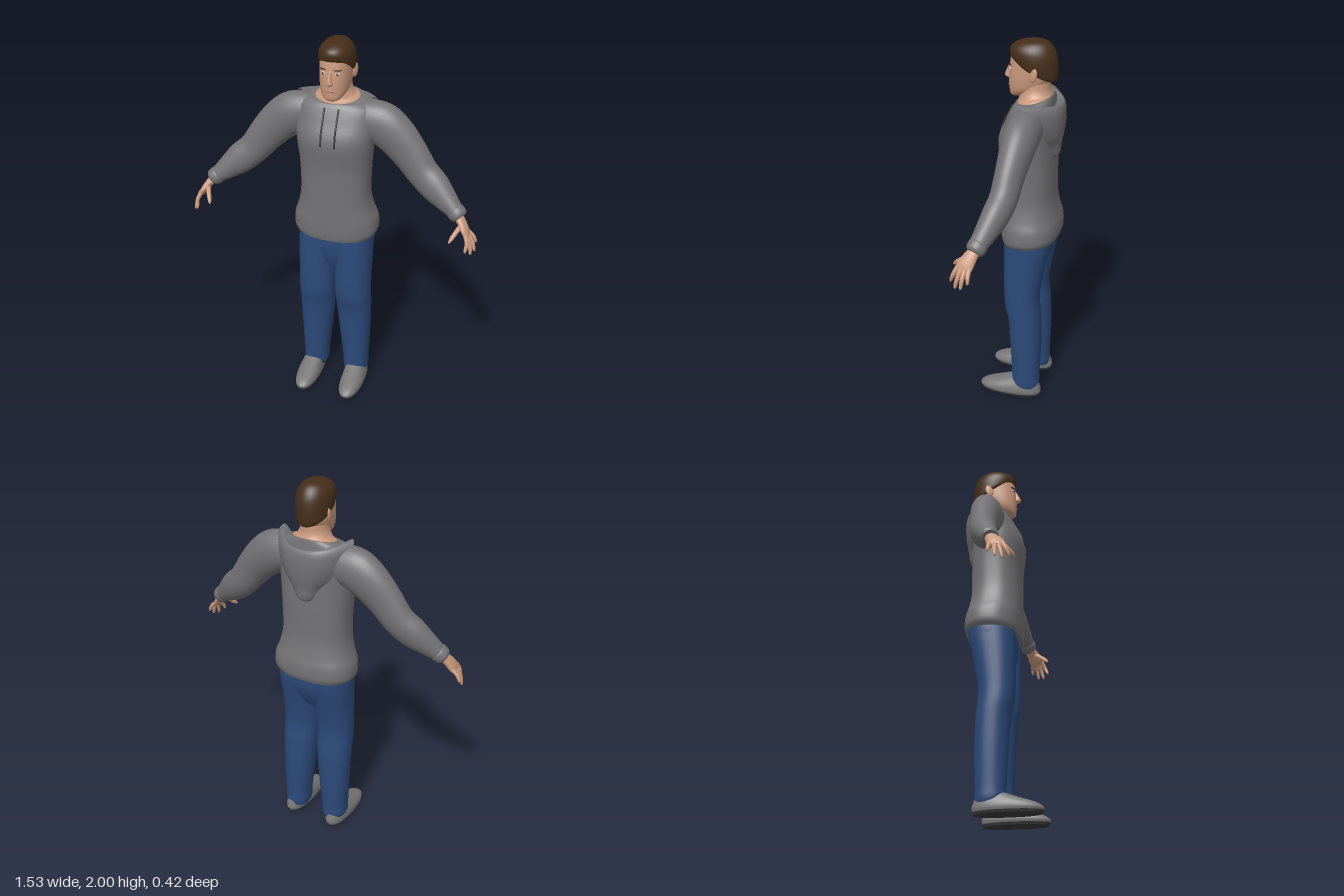
import * as THREE from 'three';

const paint = (name, color, extra = {}) => Object.assign(new THREE.MeshStandardMaterial({ color, ...extra }), { name });

// Catmull-Rom through rows of numbers
function smoothRows(rows, sub) {
  const at = i => rows[Math.max(0, Math.min(rows.length - 1, i))];
  const out = [];
  for (let i = 0; i < rows.length - 1; i++) {
    for (let k = 0; k < sub; k++) {
      const t = k / sub;
      out.push(at(i).map((p1, c) => {
        const p0 = at(i - 1)[c], p2 = at(i + 1)[c], p3 = at(i + 2)[c];
        const m1 = (p2 - p0) / 2, m2 = (p3 - p1) / 2;
        return p1 + t * m1 + t * t * (3 * (p2 - p1) - 2 * m1 - m2) + t * t * t * (2 * (p1 - p2) + m1 + m2);
      }));
    }
  }
  out.push(rows[rows.length - 1]);
  return out;
}

// Skin over elliptical rings [x, y, z, radiusA, radiusB, tilt].
// flat: rings lie level and rise in y; otherwise they follow the path.
function loft(rows, { flat = false, seg = 32, sub = 5, pow = 2 } = {}) {
  const rings = smoothRows(rows.map(r => [...r, 0].slice(0, 6)), sub);
  const pos = [], idx = [];
  const centre = r => new THREE.Vector3(r[0], r[1], r[2]);
  const bend = v => Math.sign(v) * Math.abs(v) ** (2 / pow);
  const addRing = i => {
    const r = rings[i], start = pos.length / 3;
    const T = flat ? new THREE.Vector3(0, 1, 0)
      : centre(rings[Math.min(i + 1, rings.length - 1)]).sub(centre(rings[Math.max(i - 1, 0)])).normalize();
    const b = new THREE.Vector3(0, 0, 1).addScaledVector(T, -T.z).normalize();
    const a = new THREE.Vector3().crossVectors(T, b);
    for (let j = 0; j < seg; j++) {
      const t = j / seg * Math.PI * 2, s = bend(Math.sin(t));
      const p = centre(r).addScaledVector(a, r[3] * bend(Math.cos(t))).addScaledVector(b, r[4] * s);
      pos.push(p.x, p.y + r[5] * s, p.z);
    }
    return start;
  };
  rings.forEach((_, i) => {
    const s = addRing(i);
    for (let j = 0; i && j < seg; j++) {
      const k = (j + 1) % seg, l = s - seg;
      idx.push(l + j, s + j, l + k, l + k, s + j, s + k);
    }
  });
  // end caps
  for (const i of [0, rings.length - 1]) {
    const s = addRing(i), c = pos.length / 3;
    pos.push(rings[i][0], rings[i][1], rings[i][2]);
    for (let j = 0; j < seg; j++) {
      const k = (j + 1) % seg;
      idx.push(c, s + (i ? k : j), s + (i ? j : k));
    }
  }
  return build(pos, idx);
}

function build(pos, idx) {
  const g = new THREE.BufferGeometry();
  g.setAttribute('position', new THREE.Float32BufferAttribute(pos, 3));
  g.setIndex(idx);
  g.computeVertexNormals();
  return g;
}

// Folded hood: rows [y, halfWidth, zMiddle, zEdge, edgeRise]
function hoodGeometry() {
  const rows = smoothRows([
    [1.65, 0.12, -0.13, -0.05, 0.02], [1.69, 0.185, -0.188, -0.03, 0.035],
    [1.66, 0.208, -0.207, -0.06, 0.04], [1.60, 0.185, -0.21, -0.10, 0.02],
    [1.54, 0.135, -0.205, -0.135, 0], [1.48, 0.085, -0.195, -0.145, 0],
    [1.425, 0.055, -0.188, -0.15, 0], [1.405, 0.025, -0.165, -0.15, 0],
  ], 4);
  const n = 32, pos = [], idx = [];
  rows.forEach(([y, w, zm, ze, rise], i) => {
    for (let j = 0; j <= n; j++) {
      const u = j / n * 2 - 1;
      pos.push(w * u, y + rise * u * u, zm + (ze - zm) * Math.abs(u) ** 2.6);
      if (i && j) {
        const d = i * (n + 1) + j, c = d - 1, b = d - n - 1, a = b - 1;
        idx.push(a, b, c, b, d, c);
      }
    }
  });
  return build(pos, idx);
}

export function createModel() {
  const model = new THREE.Group();
  model.name = 'standingMan';
  const hoodie = paint('hoodieGrey', 0x737375, { side: THREE.DoubleSide });
  const denim = paint('denimBlue', 0x2c4a7a);
  const skin = paint('skin', 0xc9987c);
  const hairBrown = paint('hairBrown', 0x452e19);
  const shoeGrey = paint('shoeGrey', 0x777777);
  const dark = paint('darkGrey', 0x39393b);
  const eyeWhite = paint('eyeWhite', 0xc9c6c0);
  const lip = paint('lip', 0xb07a66);
  const add = (name, geo, mat) => {
    const m = new THREE.Mesh(geo, mat);
    m.name = name;
    model.add(m);
    return m;
  };
  const blob = (name, mat, [x, y, z], [sx, sy, sz], ry = 0) => {
    const m = add(name, new THREE.SphereGeometry(1, 20, 14), mat);
    m.position.set(x, y, z);
    m.scale.set(sx, sy, sz);
    m.rotation.y = ry;
    return m;
  };

  // Hoodie body, with the collar dipping at the front
  add('hoodieBody', loft([
    [0, 0.955, -0.05, 0.208, 0.143, -0.008], [0, 0.985, -0.052, 0.224, 0.15, -0.008],
    [0, 1.05, -0.05, 0.221, 0.15], [0, 1.11, -0.043, 0.2, 0.142], [0, 1.2, -0.036, 0.183, 0.135],
    [0, 1.35, -0.035, 0.185, 0.135], [0, 1.5, -0.026, 0.198, 0.139], [0, 1.6, -0.045, 0.205, 0.12],
    [0, 1.66, -0.056, 0.2, 0.103], [0, 1.692, -0.06, 0.165, 0.094, -0.012],
    [0, 1.706, -0.06, 0.125, 0.09, -0.02],
  ], { flat: true, seg: 48, pow: 2.4 }), hoodie);
  add('hood', hoodGeometry(), hoodie);

  // Head, neck and face
  add('neck', loft([
    [0, 1.66, -0.06, 0.118, 0.088, -0.02], [0, 1.705, -0.06, 0.115, 0.086, -0.02],
    [0, 1.725, -0.062, 0.088, 0.08, -0.012], [0, 1.765, -0.062, 0.071, 0.074], [0, 1.84, -0.06, 0.068, 0.074],
  ], { flat: true }), skin);
  add('head', loft([
    [0, 1.714, 0.035, 0.026, 0.022], [0, 1.726, 0.02, 0.046, 0.045], [0, 1.755, -0.012, 0.066, 0.08],
    [0, 1.80, -0.034, 0.076, 0.104], [0, 1.86, -0.046, 0.08, 0.112], [0, 1.92, -0.052, 0.08, 0.108],
    [0, 1.96, -0.052, 0.06, 0.085], [0, 1.985, -0.052, 0.015, 0.02],
  ], { flat: true, pow: 2.25 }), skin);
  add('hair', loft([
    [0, 1.848, -0.055, 0.08, 0.108, 0.055], [0, 1.865, -0.054, 0.088, 0.117, 0.054],
    [0, 1.915, -0.053, 0.09, 0.118, 0.03], [0, 1.955, -0.053, 0.08, 0.105, 0.012],
    [0, 1.986, -0.053, 0.052, 0.07], [0, 2.0, -0.053, 0.006, 0.009],
  ], { flat: true }), hairBrown);
  add('nose', loft([
    [0, 1.797, 0.07, 0.01, 0.012], [0, 1.806, 0.071, 0.017, 0.022], [0, 1.82, 0.069, 0.013, 0.023],
    [0, 1.845, 0.062, 0.009, 0.019], [0, 1.872, 0.055, 0.007, 0.012],
  ], { flat: true, seg: 16 }), skin);
  blob('mouth', lip, [0, 1.768, 0.066], [0.026, 0.006, 0.007]);
  blob('chin', skin, [0, 1.732, 0.046], [0.028, 0.018, 0.02]);

  const fingerTips = [[0.722, 1.042, 0.142], [0.744, 1.022, 0.115], [0.757, 1.028, 0.084], [0.756, 1.058, 0.05]];
  for (const s of [1, -1]) {
    const side = s > 0 ? 'left' : 'right';
    const limb = (name, rows, mat, opts) => add(side + name, loft(rows.map(([x, ...r]) => [s * x, ...r]), opts), mat);

    // Eyes, brows, ears
    blob(side + 'Eye', eyeWhite, [s * 0.036, 1.854, 0.056], [0.014, 0.007, 0.007], s * 0.35);
    blob(side + 'Iris', dark, [s * 0.036, 1.854, 0.061], [0.0055, 0.006, 0.004], s * 0.35);
    blob(side + 'Brow', hairBrown, [s * 0.037, 1.873, 0.056], [0.02, 0.0035, 0.006], s * 0.4);
    blob(side + 'Ear', skin, [s * 0.084, 1.842, -0.07], [0.009, 0.037, 0.022], s * -0.35).rotation.x = -0.2;

    // Drawstring
    const cord = [[1.67, 0.043], [1.62, 0.068], [1.56, 0.098], [1.49, 0.113]]
      .map(([y, z]) => new THREE.Vector3(s * 0.036, y, z));
    add(side + 'Drawstring', new THREE.TubeGeometry(new THREE.CatmullRomCurve3(cord), 16, 0.005, 8), dark);

    // Sleeve and cuff
    limb('Sleeve', [
      [0.1, 1.6, -0.055, 0.09, 0.08], [0.17, 1.598, -0.056, 0.103, 0.085], [0.24, 1.578, -0.054, 0.112, 0.085],
      [0.31, 1.525, -0.05, 0.105, 0.079], [0.38, 1.45, -0.042, 0.094, 0.07], [0.45, 1.362, -0.033, 0.083, 0.067],
      [0.52, 1.302, -0.014, 0.08, 0.064], [0.59, 1.245, 0.012, 0.06, 0.053], [0.65, 1.198, 0.036, 0.04, 0.042],
    ], hoodie);
    limb('Cuff', [
      [0.63, 1.213, 0.028, 0.036, 0.036], [0.638, 1.207, 0.031, 0.047, 0.047],
      [0.662, 1.189, 0.04, 0.044, 0.045], [0.672, 1.181, 0.044, 0.032, 0.034],
    ], hoodie);

    // Hand
    limb('Palm', [
      [0.65, 1.195, 0.038, 0.024, 0.027], [0.68, 1.163, 0.056, 0.021, 0.034],
      [0.704, 1.128, 0.075, 0.018, 0.042], [0.72, 1.103, 0.083, 0.011, 0.036],
    ], skin, { seg: 20 });
    limb('Thumb', [
      [0.68, 1.155, 0.075, 0.012, 0.014], [0.662, 1.128, 0.112, 0.012, 0.013],
      [0.647, 1.104, 0.138, 0.01, 0.011], [0.64, 1.09, 0.154, 0.004, 0.004],
    ], skin, { seg: 12, sub: 3 });
    fingerTips.forEach(([x, y, z], k) => {
      const base = [0.71, 1.122, 0.108 - k * 0.019];
      const mid = [(x + 0.71) / 2 + 0.008, (y + 1.122) / 2 + 0.004, (z + base[2]) / 2];
      limb('Finger' + (k + 1), [
        [...base, 0.011, 0.012], [...mid, 0.0105, 0.011],
        [x - 0.002, y + 0.01, z - 0.002, 0.008, 0.008], [x, y, z, 0.003, 0.003],
      ], skin, { seg: 12, sub: 3 });
    });

    // Trouser leg
    limb('TrouserLeg', [
      [0.118, 0.045, -0.05, 0.06, 0.07], [0.118, 0.075, -0.048, 0.069, 0.076], [0.117, 0.14, -0.047, 0.071, 0.076],
      [0.111, 0.3, -0.046, 0.083, 0.083], [0.105, 0.48, -0.038, 0.094, 0.088], [0.103, 0.56, -0.026, 0.097, 0.092],
      [0.101, 0.64, -0.022, 0.098, 0.094], [0.101, 0.78, -0.032, 0.099, 0.106],
      [0.102, 0.9, -0.045, 0.1, 0.118], [0.102, 0.98, -0.05, 0.1, 0.12],
    ], denim, { flat: true, pow: 2.25 });

    // Shoe
    limb('Shoe', [
      [0.129, 0.01, 0.037, 0.06, 0.169], [0.129, 0.028, 0.037, 0.064, 0.173], [0.129, 0.05, 0.024, 0.061, 0.155],
      [0.126, 0.075, -0.008, 0.054, 0.115], [0.122, 0.095, -0.032, 0.048, 0.082], [0.12, 0.11, -0.045, 0.04, 0.06],
    ], shoeGrey, { flat: true, pow: 2.3 });
    limb('Sole', [[0.129, 0, 0.037, 0.058, 0.167], [0.129, 0.013, 0.037, 0.063, 0.172]], dark, { flat: true, sub: 1, pow: 2.3 });
  }

  // Trouser seat joining the legs
  add('trouserSeat', loft([
    [0, 0.76, -0.035, 0.06, 0.07], [0, 0.83, -0.042, 0.16, 0.1], [0, 0.9, -0.048, 0.2, 0.116], [0, 0.99, -0.05, 0.2, 0.12],
  ], { flat: true, pow: 2.6 }), denim);

  return model;
}
